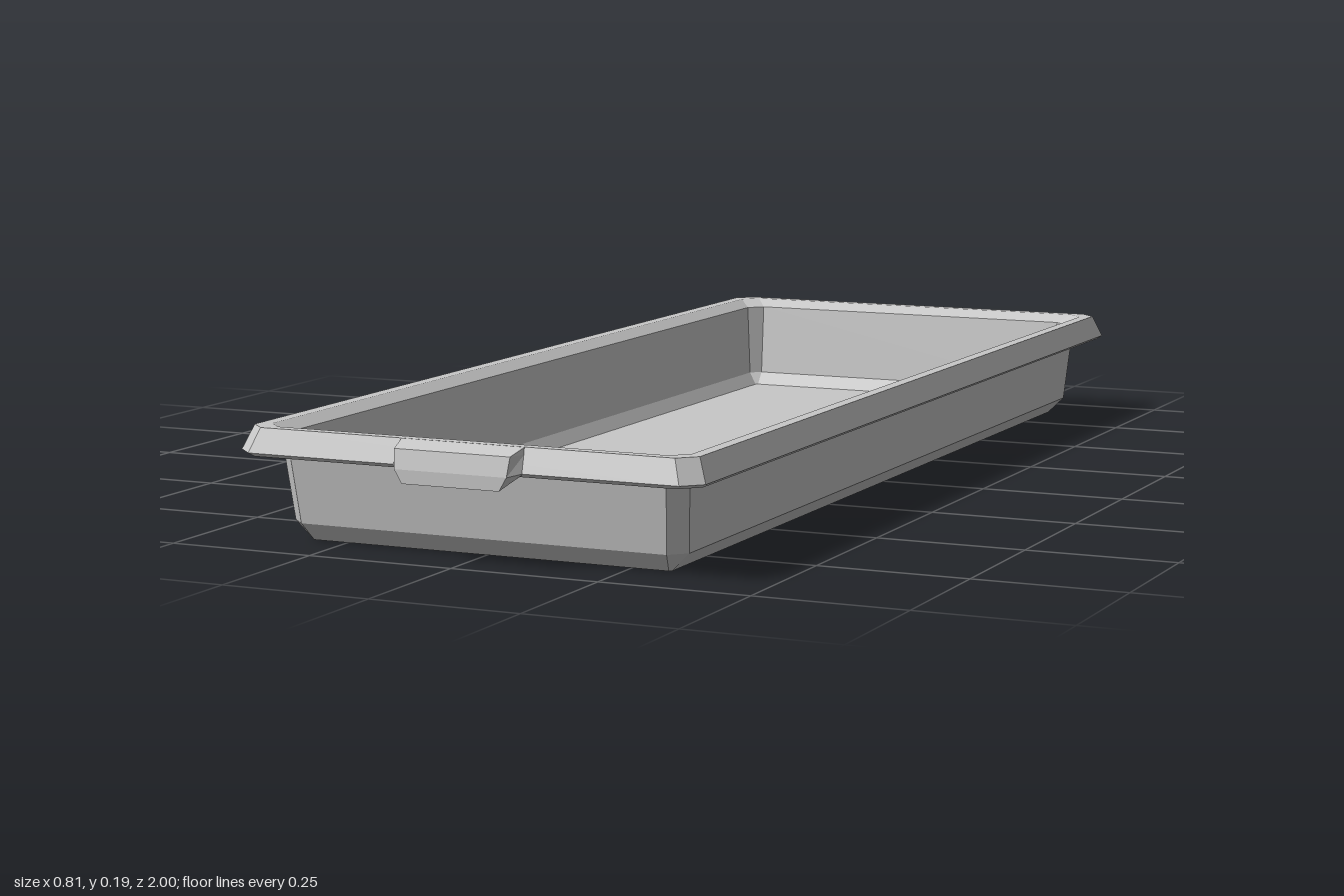
import * as THREE from 'three';

// Builds a flat-shaded geometry from rows of points; closed joins each row's ends
function loft(rows, closed) {
  const pos = [];
  const tri = (a, b, c) => {
    const n = b.clone().sub(a).cross(c.clone().sub(a));
    if (n.length() > 1e-9) pos.push(...a, ...b, ...c);
  };
  for (let i = 0; i < rows.length - 1; i++) {
    const r = rows[i], s = rows[i + 1], n = r.length;
    for (let j = 0; j < (closed ? n : n - 1); j++) {
      const k = (j + 1) % n;
      tri(r[j], r[k], s[j]);
      tri(r[k], s[k], s[j]);
    }
  }
  const g = new THREE.BufferGeometry();
  g.setAttribute('position', new THREE.Float32BufferAttribute(pos, 3));
  g.computeVertexNormals();
  return g;
}

// The tray sits slightly behind centre, as the front tab sticks out further
const TRAY_Z = -0.005;

// Rectangle with cut corners: half width, half length, corner cut, height
function ring([hx, hz, c, y]) {
  return [
    [hx, hz - c], [hx - c, hz], [c - hx, hz], [-hx, hz - c],
    [-hx, c - hz], [c - hx, -hz], [hx - c, -hz], [hx, c - hz],
  ].map(([x, z]) => new THREE.Vector3(x, y, z + TRAY_Z));
}

// Grip tab hanging over the lip: columns of [x, y, z] from the top down
function tab(lipZ) {
  const flush = [[0.108, 0.189, lipZ - 0.018], [0.109, 0.178, lipZ - 0.012], [0.111, 0.15, lipZ], [0.109, 0.147, lipZ - 0.001], [0.108, 0.147, lipZ - 0.008]];
  const raised = [[0.105, 0.189, lipZ - 0.015], [0.1, 0.178, 0.993], [0.097, 0.147, 1.0], [0.084, 0.125, 1.0], [0.084, 0.128, 0.991]];
  const column = (pts, s) => pts.map(([x, y, z]) => new THREE.Vector3(s * x, y, z));
  return loft([column(flush, -1), column(raised, -1), column(raised, 1), column(flush, 1)], false);
}

export function createModel() {
  const group = new THREE.Group();
  const plastic = new THREE.MeshStandardMaterial({ color: 0xc8c8c8, flatShading: true, side: THREE.DoubleSide });
  plastic.name = 'greyPlastic';
  const add = (name, geometry) => {
    const mesh = new THREE.Mesh(geometry, plastic);
    mesh.name = name;
    group.add(mesh);
    return mesh;
  };

  // Inside of the tray: floor, sloped edge and walls
  const innerTop = [0.343, 0.922, 0.025, 0.175];
  add('trayInside', loft([
    [0, 0, 0, 0.02], [0.315, 0.877, 0.004, 0.02], [0.332, 0.902, 0.018, 0.042], innerTop,
  ].map(ring), true));

  // Rim with a turned-down lip, hollow underneath
  const underRim = [0.357, 0.934, 0.028, 0.17];
  add('rim', loft([
    innerTop, [0.366, 0.946, 0.027, 0.189], [0.387, 0.965, 0.028, 0.189],
    [0.403, 0.981, 0.03, 0.15], [0.395, 0.974, 0.03, 0.144],
    [0.378, 0.956, 0.028, 0.174], underRim,
  ].map(ring), true));

  // Outside walls, bevel and underside
  add('trayOutside', loft([
    underRim, [0.355, 0.93, 0.027, 0.145], [0.346, 0.912, 0.026, 0.03],
    [0.316, 0.887, 0.004, 0], [0, 0, 0, 0],
  ].map(ring), true));

  // One grip tab at each end
  add('frontTab', tab(0.981 + TRAY_Z));
  add('backTab', tab(0.981 - TRAY_Z)).rotation.y = Math.PI;

  return group;
}
